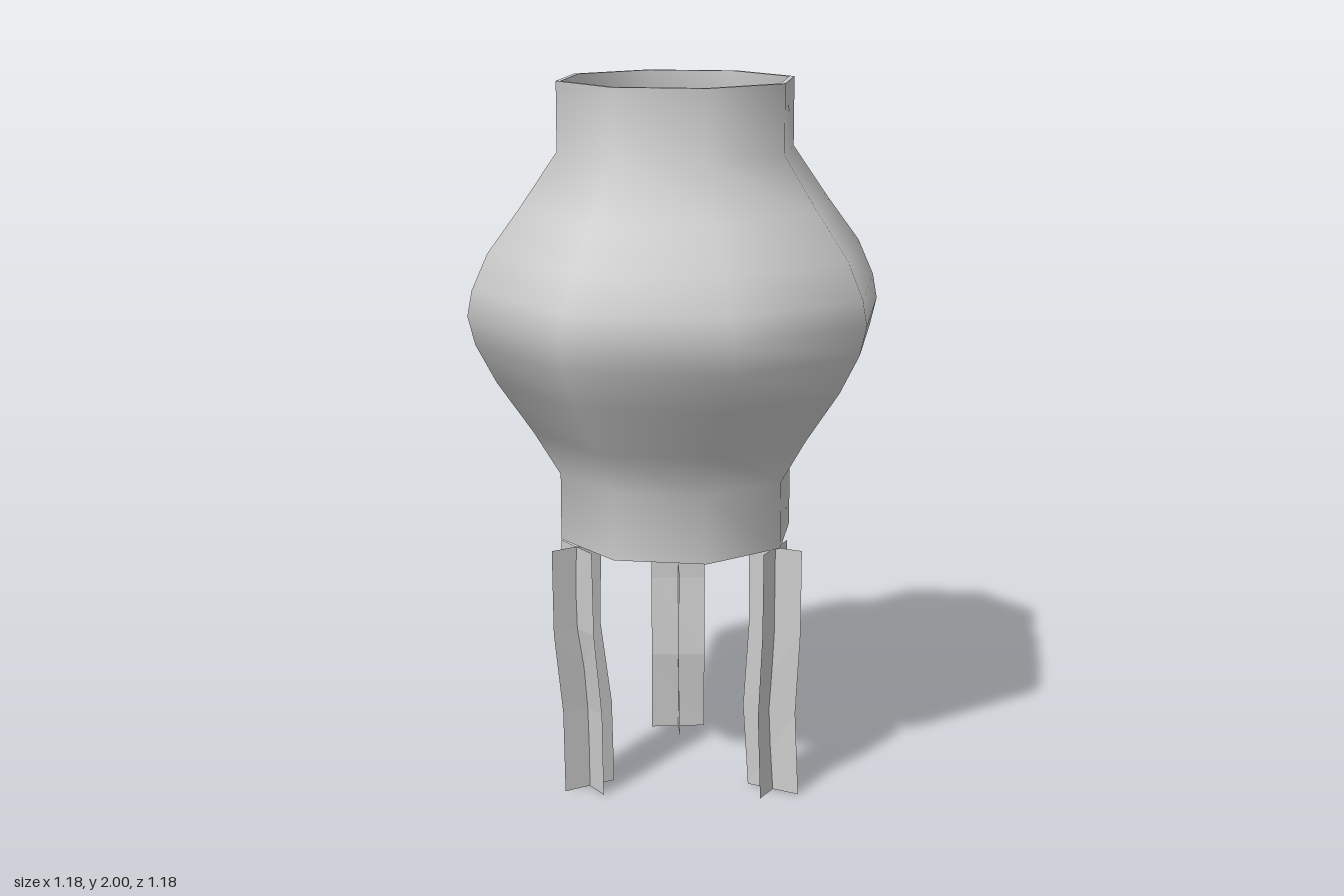
import * as THREE from 'three';

const grey = new THREE.MeshStandardMaterial({ color: 0xcccccc });
const paper = new THREE.MeshStandardMaterial({ color: 0xcccccc, side: THREE.DoubleSide, flatShading: true });

const SIDES = 8, WALL = 0.015;
const BASE = 0.72, TASSEL_R = 0.32, TASSEL_W = 0.16;

// radius, height of the outer wall, bottom to top
const profile = [
  [0.335, 0.72], [0.335, 0.91], [0.41, 1.035], [0.51, 1.18], [0.568, 1.29], [0.588, 1.37],
  [0.575, 1.44], [0.53, 1.54], [0.44, 1.66], [0.335, 1.81], [0.335, 2],
];

function lathe(name, points, material = grey) {
  const geo = new THREE.LatheGeometry(points.map(([r, y]) => new THREE.Vector2(r, y)), SIDES);
  const mesh = new THREE.Mesh(geo, material);
  mesh.name = name;
  return mesh;
}

// Two crossed paper strips, shifted outward and twisted row by row
function makeTassel(name, angle, shifts, twists) {
  const group = new THREE.Group();
  group.name = name;
  ['radialStrip', 'crossStrip'].forEach((stripName, k) => {
    const geo = new THREE.PlaneGeometry(TASSEL_W, BASE, 1, shifts.length - 1);
    const pos = geo.attributes.position;
    for (let i = 0; i < pos.count; i++) {
      const row = Math.floor(i / 2);
      const a = twists[row] + k * Math.PI / 2;
      const u = pos.getX(i);
      pos.setXYZ(i, u * Math.cos(a) + shifts[row], pos.getY(i) + BASE / 2, -u * Math.sin(a));
    }
    geo.computeVertexNormals();
    const strip = new THREE.Mesh(geo, paper);
    strip.name = stripName;
    group.add(strip);
  });
  group.position.set(TASSEL_R * Math.cos(angle), 0, -TASSEL_R * Math.sin(angle));
  group.rotation.y = angle;
  return group;
}

export function createModel() {
  const model = new THREE.Group();
  model.name = 'lantern';

  // Thin-walled octagonal body
  const inner = profile.map(([r, y]) => [r - WALL, y]).reverse();
  model.add(lathe('outerWall', profile));
  model.add(lathe('innerWall', inner));
  model.add(lathe('topRim', [[0.335, 2], [0.335 - WALL, 2]]));
  model.add(lathe('bottomRim', [[0.335 - WALL, BASE], [0.335, BASE]]));

  // Floor just inside the lower opening
  const floor = new THREE.Mesh(new THREE.CircleGeometry(0.335 - WALL, SIDES), paper);
  floor.name = 'floor';
  floor.rotation.x = -Math.PI / 2;
  floor.position.y = BASE + 0.01;
  model.add(floor);

  // Three hanging tassels
  const third = Math.PI * 2 / 3;
  model.add(makeTassel('leftTassel', 0, [0, 0, -0.015, 0], [0.08, 0.06, 0.1, 0.03]));
  model.add(makeTassel('backTassel', third, [0, 0.005, -0.012, 0.012], [0.03, 0.06, 0.04, 0.08]));
  model.add(makeTassel('frontTassel', -third, [0, 0, -0.03, -0.035], [0.08, 0.14, 0.06, 0.04]));
  return model;
}
